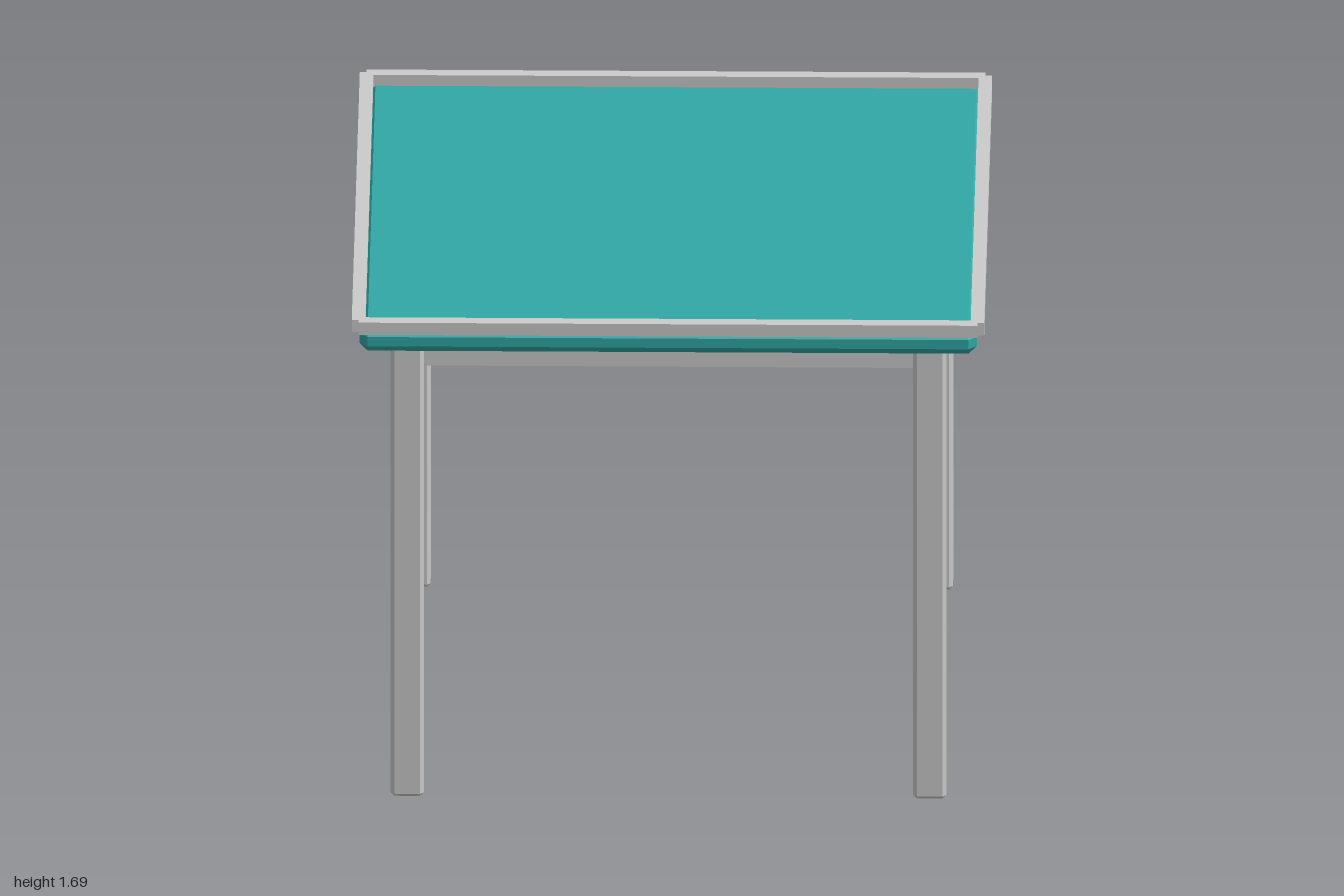
import * as THREE from 'three';
import { ConvexGeometry } from 'three/addons/geometries/ConvexGeometry.js';

// Box with every edge cut at 45 degrees by c
function chamferedBox(w, h, d, c) {
  const points = [];
  for (const x of [-1, 1]) for (const y of [-1, 1]) for (const z of [-1, 1]) {
    const X = w / 2, Y = h / 2, Z = d / 2;
    points.push(
      new THREE.Vector3(x * X, y * (Y - c), z * (Z - c)),
      new THREE.Vector3(x * (X - c), y * Y, z * (Z - c)),
      new THREE.Vector3(x * (X - c), y * (Y - c), z * Z)
    );
  }
  return new ConvexGeometry(points);
}

export function createModel() {
  const table = new THREE.Group();
  table.name = 'table';
  const grey = new THREE.MeshStandardMaterial({ color: 0xcccccc, flatShading: true });
  const teal = new THREE.MeshStandardMaterial({ color: 0x30a8a5, flatShading: true });

  const add = (parent, name, geometry, material, x, y, z) => {
    const mesh = new THREE.Mesh(geometry, material);
    mesh.name = name;
    mesh.position.set(x, y, z);
    parent.add(mesh);
  };

  // Bevelled tabletop slab
  add(table, 'tabletop', chamferedBox(1.952, 0.084, 1.952, 0.026), teal, 0, 1.614, 0);

  // Four bevelled legs
  const legAt = 0.826;
  const legGeometry = chamferedBox(0.105, 1.562, 0.105, 0.012);
  for (const x of [-1, 1]) for (const z of [-1, 1]) {
    add(table, `${z > 0 ? 'front' : 'back'}${x > 0 ? 'Left' : 'Right'}Leg`,
      legGeometry, grey, x * legAt, 0.781, z * legAt);
  }

  // One apron rail and one raised rim strip on each side
  const apronGeometry = new THREE.BoxGeometry(2 * legAt - 0.1, 0.09, 0.08);
  const rimGeometry = new THREE.BoxGeometry(1.957, 0.042, 0.043);
  ['front', 'left', 'back', 'right'].forEach((side, i) => {
    const group = new THREE.Group();
    group.name = `${side}Side`;
    group.rotation.y = i * Math.PI / 2;
    add(group, `${side}Apron`, apronGeometry, grey, 0, 1.53, legAt);
    add(group, `${side}Rim`, rimGeometry, grey, 0, 1.669, 0.9785);
    table.add(group);
  });

  return table;
}
